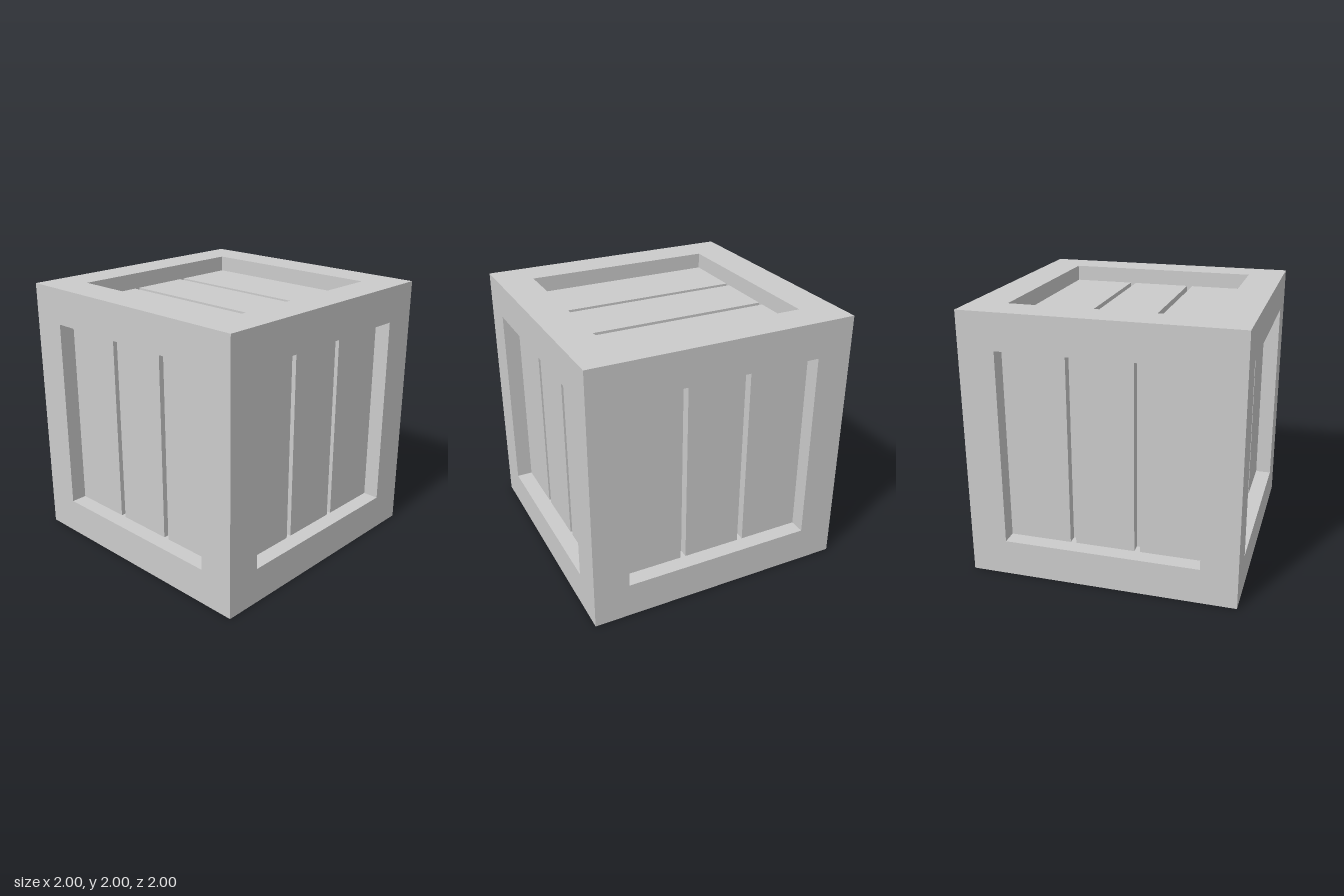
import * as THREE from 'three';

const OPEN = 0.73;                 // half width of the panel openings
const BEAM = 1 - OPEN;             // square section of the frame members
const RECESS = 0.12;               // planks sit this far behind the frame
const PLANK = 0.07;                // plank thickness = groove depth
const GROOVE = [0.222, 0.265];     // inner and outer edge of each groove

export function createModel() {
  const crate = new THREE.Group();
  crate.name = 'crate';
  crate.position.y = 1;
  const material = new THREE.MeshStandardMaterial({ color: 0xcccccc, flatShading: true });

  const box = (parent, name, size, pos) => {
    const mesh = new THREE.Mesh(new THREE.BoxGeometry(...size), material);
    mesh.name = name;
    mesh.position.set(...pos);
    parent.add(mesh);
  };

  // Frame: four full-height posts, with rails fitted between them
  const frame = new THREE.Group();
  frame.name = 'frame';
  const c = 1 - BEAM / 2;
  for (const a of [-c, c]) {
    for (const b of [-c, c]) {
      box(frame, 'cornerPost', [BEAM, 2, BEAM], [a, 0, b]);
      box(frame, 'widthRail', [2 * OPEN, BEAM, BEAM], [0, a, b]);
      box(frame, 'depthRail', [BEAM, BEAM, 2 * OPEN], [a, b, 0]);
    }
  }
  crate.add(frame);

  // Inner core closes the grooves between the planks
  const half = 1 - RECESS - PLANK;
  box(crate, 'innerCore', [2 * half, 2 * half, 2 * half], [0, 0, 0]);

  // Three recessed planks per face, built facing +z with vertical grooves
  const addPanel = (name, rx, ry, rz) => {
    const panel = new THREE.Group();
    panel.name = name;
    const z = half + PLANK / 2;
    const [g0, g1] = GROOVE;
    box(panel, 'middlePlank', [2 * g0, 2 * OPEN, PLANK], [0, 0, z]);
    for (const s of [-1, 1]) {
      box(panel, 'sidePlank', [OPEN - g1, 2 * OPEN, PLANK], [s * (OPEN + g1) / 2, 0, z]);
    }
    panel.rotation.set(rx, ry, rz);
    crate.add(panel);
  };
  const q = Math.PI / 2;
  ['frontPanel', 'leftPanel', 'backPanel', 'rightPanel'].forEach((n, i) => addPanel(n, 0, i * q, 0));
  // Top and bottom planks run across the width
  addPanel('topPanel', -q, 0, q);
  addPanel('bottomPanel', q, 0, q);

  const model = new THREE.Group();
  model.name = 'woodenCrate';
  model.add(crate);
  return model;
}
